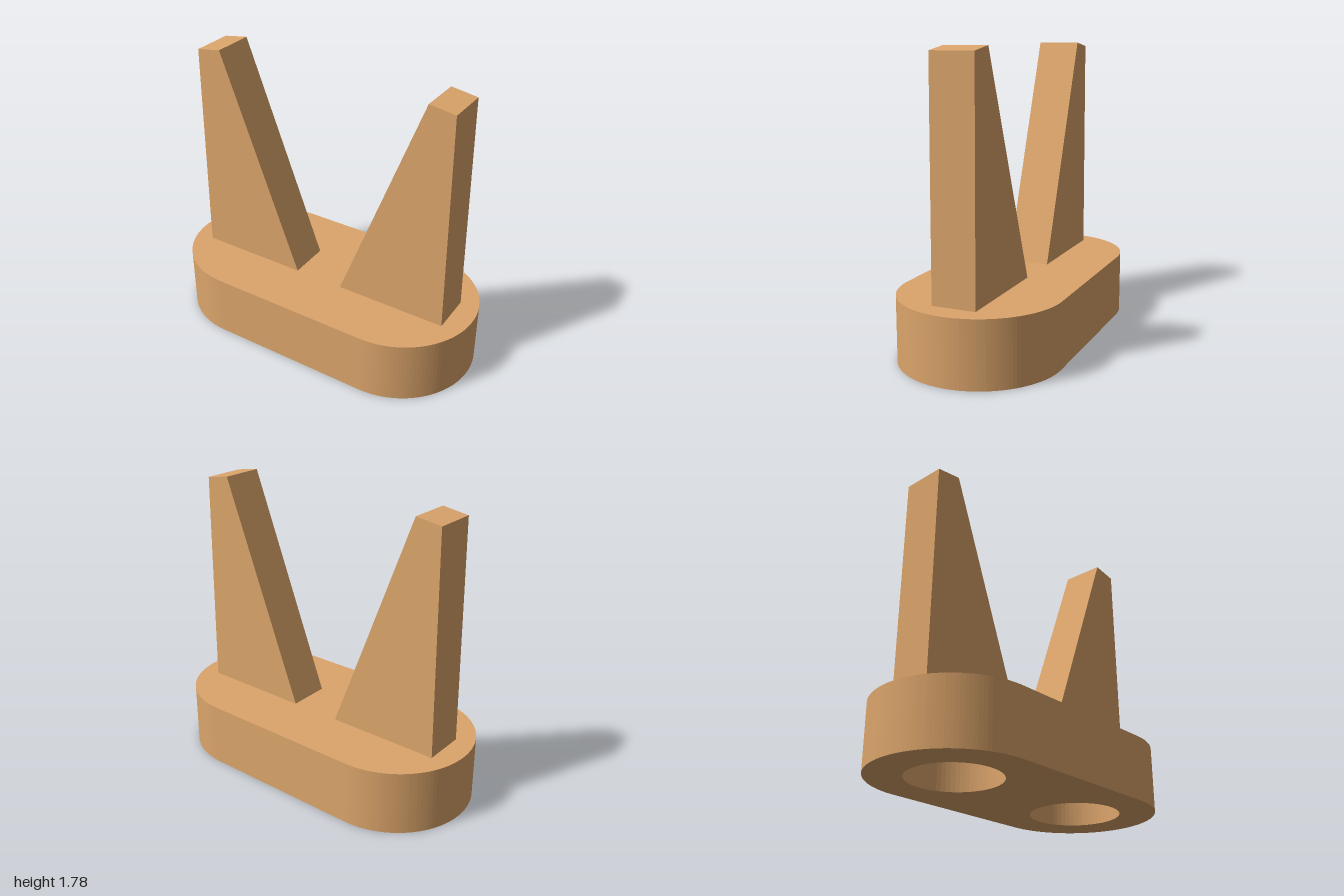
import * as THREE from 'three';

const tan = new THREE.MeshStandardMaterial({ color: 0xdca56b });
tan.name = 'tan';

const END_X = 0.513, END_R = 0.487; // rounded ends of the base
const HOLE_R = 0.273, HOLE_DEPTH = 0.24;
const BASE_H = 0.395, FIN_HALF = 0.132;

// Plan outline of the base, with straight sides and round ends
function baseOutline() {
  const s = new THREE.Shape();
  s.absarc(END_X, 0, END_R, -Math.PI / 2, Math.PI / 2, false);
  s.absarc(-END_X, 0, END_R, Math.PI / 2, Math.PI * 1.5, false);
  s.closePath();
  return s;
}

// Horizontal slab raised from a plan shape
function slab(name, shape, y, height) {
  const geo = new THREE.ExtrudeGeometry(shape, { depth: height, bevelEnabled: false, curveSegments: 32 });
  geo.rotateX(-Math.PI / 2).translate(0, y, 0);
  const mesh = new THREE.Mesh(geo, tan);
  mesh.name = name;
  return mesh;
}

// Tapered upright, side is +1 or -1
function upright(name, side) {
  const points = [[0.16, BASE_H], [0.862, BASE_H], [0.845, 1.755], [0.685, 1.78]];
  const shape = new THREE.Shape(points.map(([x, y]) => new THREE.Vector2(x * side, y)));
  const geo = new THREE.ExtrudeGeometry(shape, { depth: FIN_HALF * 2, bevelEnabled: false });
  geo.translate(0, 0, -FIN_HALF);
  const mesh = new THREE.Mesh(geo, tan);
  mesh.name = name;
  return mesh;
}

export function createModel() {
  const model = new THREE.Group();
  model.name = 'twoProngedStand';

  // Lower base with two round sockets, closed by the solid upper base
  const lower = baseOutline();
  for (const side of [-1, 1]) {
    lower.holes.push(new THREE.Path().absarc(side * END_X, 0, HOLE_R, 0, Math.PI * 2, true));
  }
  model.add(slab('lowerBaseWithSockets', lower, 0, HOLE_DEPTH));
  model.add(slab('upperBase', baseOutline(), HOLE_DEPTH, BASE_H - HOLE_DEPTH));

  model.add(upright('leftUpright', 1), upright('rightUpright', -1));
  return model;
}
